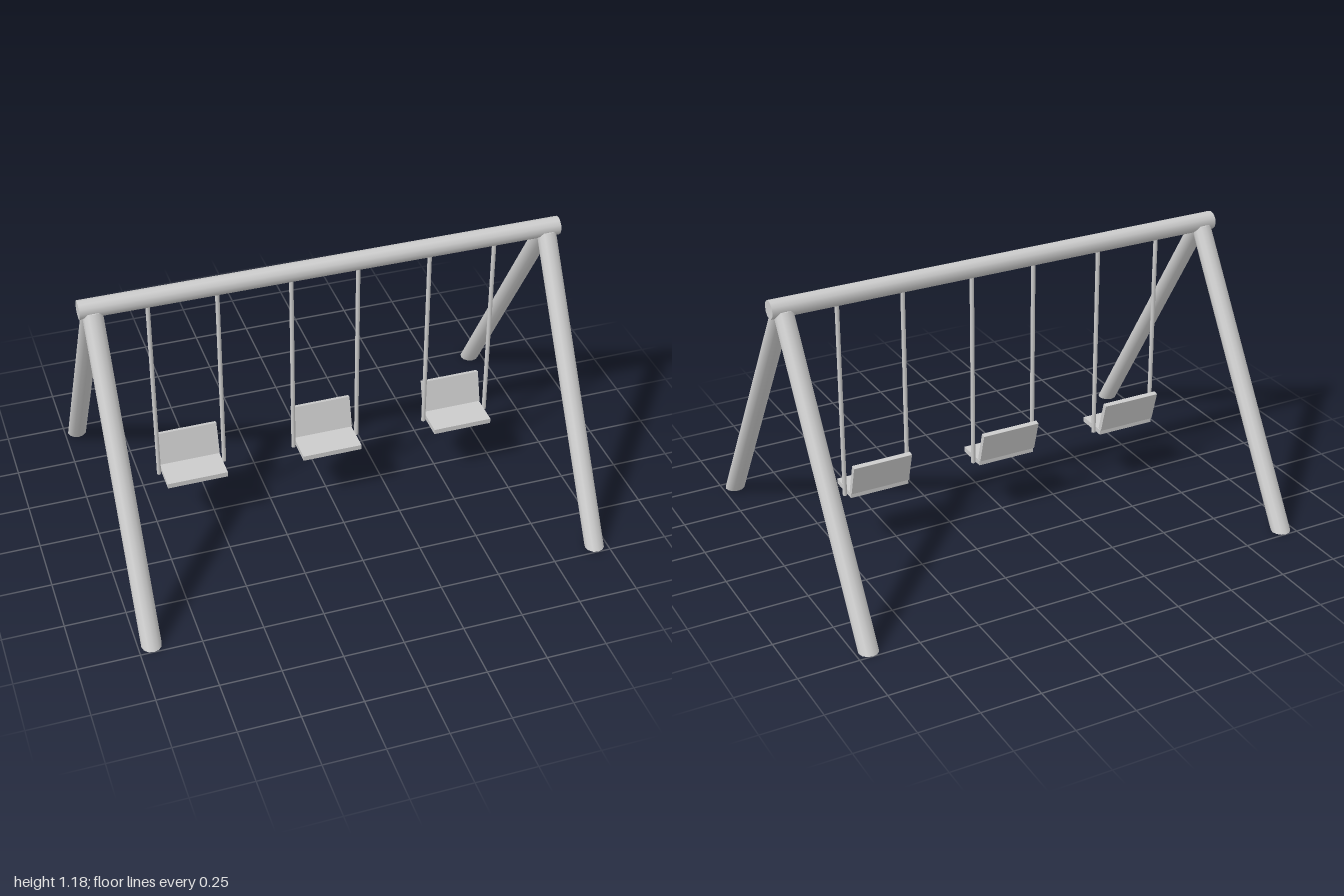
import * as THREE from 'three';

const SIDES = 12;
const BEAM_Y = 1.137;   // height of the beam axis
const FOOT_Z = 0.709;   // distance of each foot from the centre

export function createModel() {
  const model = new THREE.Group();
  model.name = 'swingSet';
  const material = new THREE.MeshStandardMaterial({ color: 0xcccccc });

  function add(parent, name, geometry, x = 0, y = 0, z = 0) {
    const mesh = new THREE.Mesh(geometry, material);
    mesh.name = name;
    mesh.position.set(x, y, z);
    parent.add(mesh);
    return mesh;
  }

  // Top beam along x
  const beam = new THREE.CylinderGeometry(0.0385, 0.0385, 2, SIDES);
  beam.rotateZ(Math.PI / 2);
  add(model, 'topBeam', beam, 0, BEAM_Y, 0);

  // Slanted legs: upright cylinders sheared in z, so the feet are cut level
  function legGeometry(side) {
    const height = BEAM_Y - 0.005;
    const leg = new THREE.CylinderGeometry(0.041, 0.041, height, SIDES);
    leg.translate(0, height / 2, 0);
    const slope = FOOT_Z / BEAM_Y;
    const shear = new THREE.Matrix4().set(
      1, 0, 0, 0,
      0, 1, 0, 0,
      0, -side * slope, 1, side * FOOT_Z,
      0, 0, 0, 1
    );
    return leg.applyMatrix4(shear);
  }
  for (const side of [1, -1]) {
    const geometry = legGeometry(side);
    for (const x of [-0.946, 0.946]) {
      add(model, side > 0 ? 'frontLeg' : 'backLeg', geometry, x);
    }
  }

  // Swings: two hanging rods, a flat seat and a tilted backrest
  const rodBottom = 0.257;
  const rodLength = BEAM_Y - rodBottom;
  const rod = new THREE.CylinderGeometry(0.009, 0.009, rodLength, SIDES);
  const seat = new THREE.BoxGeometry(0.256, 0.022, 0.139);
  const back = new THREE.BoxGeometry(0.256, 0.138, 0.0205);

  for (const x of [-0.587, -0.003, 0.582]) {
    const swing = new THREE.Group();
    swing.name = 'swing';
    swing.position.x = x;
    for (const side of [-1, 1]) {
      add(swing, 'hangingRod', rod, side * 0.14, rodBottom + rodLength / 2, 0);
    }
    add(swing, 'seat', seat, 0, 0.267, 0.0355);
    add(swing, 'backrest', back, 0, 0.347, -0.05).rotation.x = -0.265;
    model.add(swing);
  }

  return model;
}
